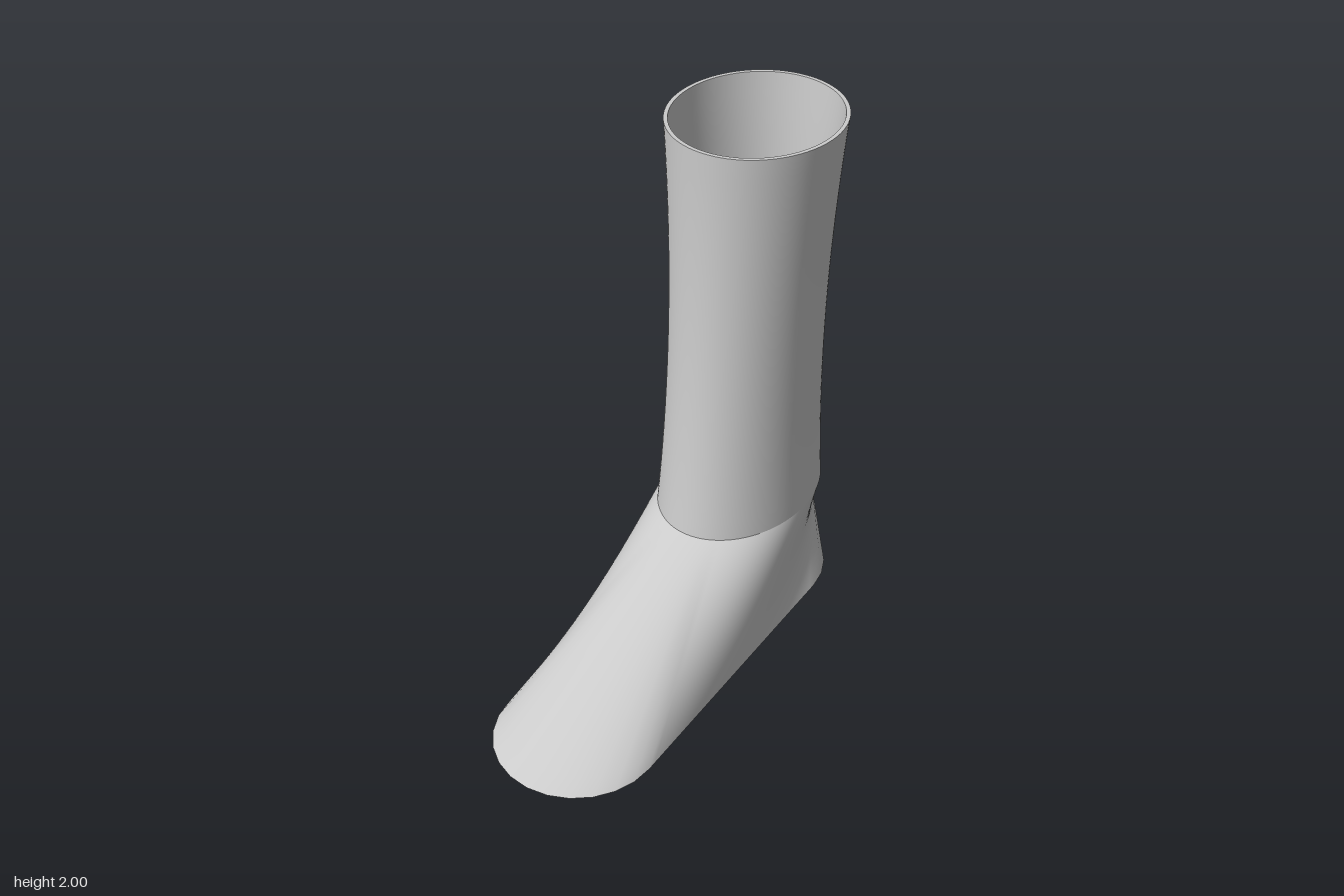
import * as THREE from 'three';
import { mergeGeometries } from 'three/addons/utils/BufferGeometryUtils.js';

const SEGMENTS = 96;
const WALL = 0.015;
const ANKLE_Y = 0.44;
const TOP_Y = 2;

// Ring of points; angle 0 is the front, growing towards +x.
const ring = (pointAt) =>
  Array.from({ length: SEGMENTS }, (_, i) => pointAt((i / SEGMENTS) * Math.PI * 2));

// Smooth closed-ring surface through a list of rings.
function loft(rings) {
  const index = [];
  for (let i = 0; i < rings.length - 1; i++) {
    for (let j = 0; j < SEGMENTS; j++) {
      const k = (j + 1) % SEGMENTS;
      const a = i * SEGMENTS + j, b = i * SEGMENTS + k;
      const c = b + SEGMENTS, d = a + SEGMENTS;
      index.push(a, b, c, a, c, d);
    }
  }
  const geometry = new THREE.BufferGeometry().setFromPoints(rings.flat());
  geometry.setIndex(index);
  geometry.computeVertexNormals();
  return geometry;
}

// Oval leg section: gently waisted sides, back and shin.
function legRing(y, inset) {
  const rx = 0.268 + 0.0465 * (y - 1.05) ** 2 - inset;
  const back = -0.87 - 0.055 * (y - 1.2) ** 2 + inset;
  const front = -0.22 + 0.0525 * (y - 1.75) ** 2 - inset;
  const cz = (front + back) / 2, rz = (front - back) / 2;
  return ring((a) => new THREE.Vector3(rx * Math.sin(a), y, cz + rz * Math.cos(a)));
}

// Sole outline: two half circles joined by long straight sides.
function soleRing(inset) {
  const r = 0.31 - inset, half = 0.59, arc = Math.PI / 8;
  return ring((a) => {
    const side = a > Math.PI ? -1 : 1;
    const t = side > 0 ? a : Math.PI * 2 - a;
    const end = t <= Math.PI / 2 ? 1 : -1;
    const u = end > 0 ? t : Math.PI - t;
    if (u <= arc) {
      const w = (u / arc) * (Math.PI / 2);
      return new THREE.Vector3(side * r * Math.sin(w), 0, end * (half + r * Math.cos(w)));
    }
    const z = half * (Math.PI / 2 - u) / (Math.PI / 2 - arc);
    return new THREE.Vector3(side * r, 0, end * z);
  });
}

// Straight blend from the sole outline up to the ankle oval.
function footRings(inset, steps = 14) {
  const sole = soleRing(inset), ankle = legRing(ANKLE_Y, inset);
  return Array.from({ length: steps + 1 }, (_, i) =>
    sole.map((p, j) => p.clone().lerp(ankle[j], i / steps)));
}

function legRings(inset, steps = 20) {
  return Array.from({ length: steps + 1 }, (_, i) =>
    legRing(ANKLE_Y + (TOP_Y - ANKLE_Y) * (i / steps), inset));
}

export function createModel() {
  const group = new THREE.Group();
  group.name = 'boot';
  const material = new THREE.MeshStandardMaterial({ color: 0xcccccc, side: THREE.DoubleSide });
  const add = (name, parts) => {
    const mesh = new THREE.Mesh(mergeGeometries(parts.map(loft)), material);
    mesh.name = name;
    group.add(mesh);
  };

  // Hollow foot with an open sole and a thin bottom rim
  const footOut = footRings(0), footIn = footRings(WALL);
  add('foot', [footOut, [footIn[0], footOut[0]], [...footIn].reverse()]);

  // Hollow leg with a thin top rim
  const legOut = legRings(0), legIn = legRings(WALL);
  add('leg', [legOut, [legOut.at(-1), legIn.at(-1)], [...legIn].reverse()]);

  return group;
}
